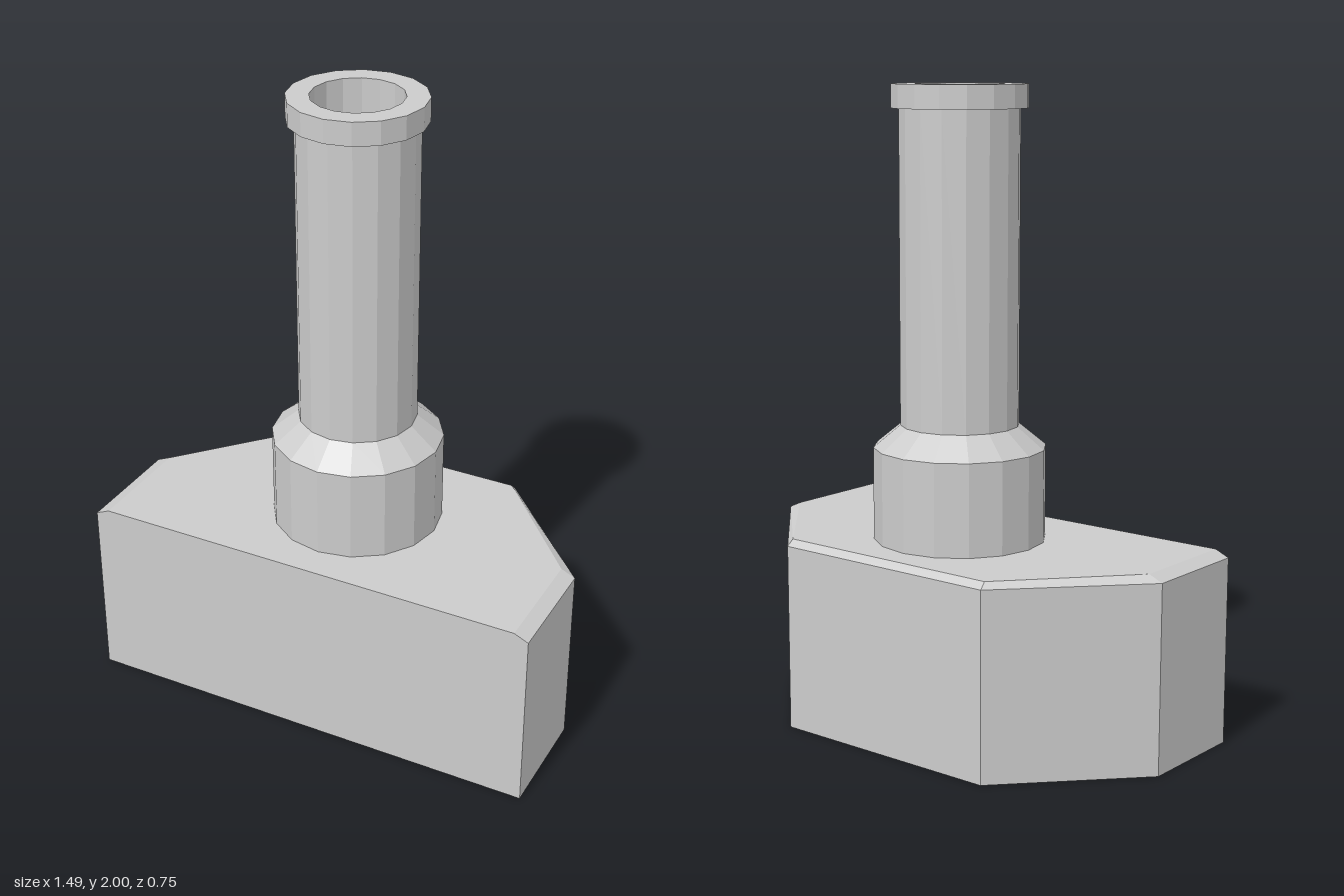
import * as THREE from 'three';

const SIDES = 16;

function material() {
  return new THREE.MeshStandardMaterial({ color: 0xcccccc, flatShading: true });
}

// Round part turned from a profile of [radius, height] points
function turned(name, profile) {
  const points = profile.map(([r, y]) => new THREE.Vector2(r, y));
  const mesh = new THREE.Mesh(new THREE.LatheGeometry(points, SIDES), material());
  mesh.name = name;
  return mesh;
}

// Closed solid skinned through stacked cross-sections { y, outline: [[x, z], ...] }
function stacked(sections) {
  const n = sections[0].outline.length;
  const positions = sections.flatMap(({ y, outline }) => outline.flatMap(([x, z]) => [x, y, z]));
  const index = [];
  for (let s = 0; s < sections.length - 1; s++) {
    for (let i = 0; i < n; i++) {
      const a = s * n + i, b = s * n + (i + 1) % n;
      index.push(a, b, b + n, a, b + n, a + n);
    }
  }
  const top = (sections.length - 1) * n;
  for (let i = 1; i < n - 1; i++) {
    index.push(0, i + 1, i);
    index.push(top, top + i, top + i + 1);
  }
  const geometry = new THREE.BufferGeometry();
  geometry.setAttribute('position', new THREE.Float32BufferAttribute(positions, 3));
  geometry.setIndex(index);
  const flat = geometry.toNonIndexed();
  flat.computeVertexNormals();
  return flat;
}

// Six-sided plan: straight front, short sides, chamfered back corners
function plan(halfWidth, sideZ, halfBack, backZ) {
  const right = [[halfWidth, 0.373], [halfWidth, sideZ], [halfBack, backZ]];
  const left = right.map(([x, z]) => [-x, z]).reverse();
  return [...right, ...left];
}

export function createModel() {
  const model = new THREE.Group();
  model.name = 'chimney';

  // Base block, bevelled along the top except at the front
  const wall = plan(0.745, 0.01, 0.383, -0.375);
  const roof = plan(0.7, 0.01, 0.38, -0.354);
  const base = new THREE.Mesh(stacked([
    { y: 0, outline: wall },
    { y: 0.588, outline: wall },
    { y: 0.608, outline: roof },
  ]), material());
  base.name = 'base';
  model.add(base);

  // Wide collar tapering into the pipe
  model.add(turned('collar', [[0.268, 0.6], [0.268, 0.897], [0.184, 0.966]]));

  // Hollow pipe with a projecting rim and an inner floor
  model.add(turned('pipe', [
    [0.184, 0.966], [0.184, 1.928], [0.208, 1.928], [0.208, 2],
    [0.139, 2], [0.139, 0.966], [0, 0.966],
  ]));

  return model;
}
